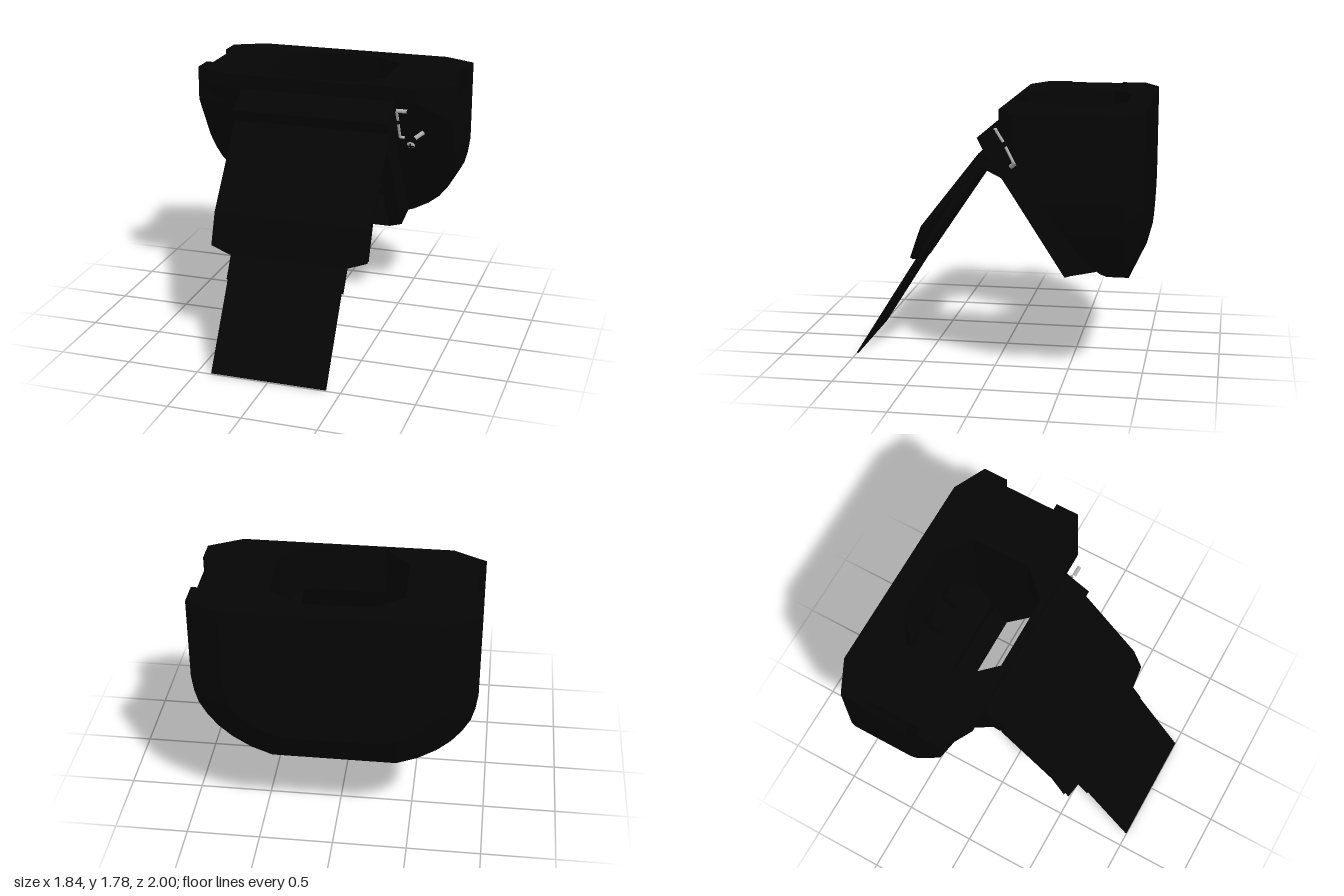
import * as THREE from 'three';

const black = new THREE.MeshStandardMaterial({ color: 0x050505, side: THREE.DoubleSide });
black.name = 'black shell';
const steel = new THREE.MeshStandardMaterial({ color: 0xb4b4b4 });
steel.name = 'bare steel';

// slope of the front face, as z for a height
const slopeZ = (y) => -0.06 - (1.67 - y) / 1.62;

function toShape(pts, Type = THREE.Shape) {
  return new Type(pts.map(([a, b]) => new THREE.Vector2(a, b)));
}

// side profile given as [z, y], extruded from x0 to x1
function profile(pts, x0, x1) {
  const g = new THREE.ExtrudeGeometry(toShape(pts), { depth: x1 - x0, bevelEnabled: false });
  return g.rotateY(-Math.PI / 2).translate(x1, 0, 0);
}

// flat-shaded geometry from quads of corner arrays
function quads(list) {
  const pos = [];
  for (const [a, b, c, d] of list) pos.push(...a, ...b, ...c, ...a, ...c, ...d);
  const g = new THREE.BufferGeometry();
  g.setAttribute('position', new THREE.Float32BufferAttribute(pos, 3));
  g.computeVertexNormals();
  return g;
}

// plan of the feed opening, front edge first
const opening = [[-0.26, -0.1], [0.26, -0.1], [0.43, -0.28], [0.43, -0.47], [0.43, -0.7],
  [0.23, -0.84], [-0.23, -0.84], [-0.43, -0.7], [-0.43, -0.47], [-0.43, -0.28]];

// height where the hopper walls end: short at the front, sloping floor at the back
function hopperY(z) {
  if (z > -0.2) return 1.45;
  return z > -0.47 ? 0.63 + (z + 0.47) * 1.6 : 0.63 + (-0.47 - z) * 1.7;
}

function bodyShell() {
  const half = [[0.92, 1.68], [0.92, 1.543], [0.92, 1.22], [0.905, 1.11], [0.88, 1.02], [0.83, 0.93],
    [0.76, 0.84], [0.67, 0.76], [0.55, 0.685], [0.41, 0.63]];
  const inset = ([x, y]) => [x * 0.76, y > 1.22 ? y : 1.22 - (1.22 - y) * 0.62];
  // four U-shaped rings from back to front
  const rings = [
    half.map(inset).map(([x, y]) => [x, y, -1]),
    half.map(([x, y]) => [x, y, -0.89]),
    half.map(([x, y]) => [x, y, Math.min(-0.18, slopeZ(y) - 0.04)]),
    half.map(inset).map(([x, y]) => [x, y, Math.min(-0.06, slopeZ(y))]),
  ];
  const flip = ([x, y, z]) => [-x, y, z];
  const list = [];
  const last = half.length - 1;
  for (let i = 0; i < last; i++) {
    for (let r = 0; r < 3; r++) {
      const q = [rings[r][i], rings[r][i + 1], rings[r + 1][i + 1], rings[r + 1][i]];
      list.push([...q].reverse(), q.map(flip));
    }
    // back panel, and front panels either side of the mouth
    const a = rings[0][i], b = rings[0][i + 1];
    list.push([a, b, flip(b), flip(a)]);
    const c = rings[3][i], d = rings[3][i + 1];
    const ci = [Math.min(0.43, c[0]), c[1], c[2]], di = [Math.min(0.43, d[0]), d[1], d[2]];
    const q = [c, ci, di, d];
    list.push(q, q.map(flip).reverse());
  }
  // flat bottom
  for (let r = 0; r < 3; r++) {
    const a = rings[r][last], b = rings[r + 1][last];
    list.push([a, b, flip(b), flip(a)]);
  }
  return quads(list);
}

function rim() {
  // chamfered plan with a hand notch in each side
  const right = [[0.7, -0.06], [0.92, -0.18], [0.92, -0.34], [0.87, -0.34],
    [0.87, -0.72], [0.92, -0.72], [0.92, -0.89], [0.7, -1]];
  const left = right.map(([x, z]) => [-x, z]).reverse();
  const s = toShape([...right, ...left]);
  s.holes.push(toShape(opening, THREE.Path));
  const g = new THREE.ExtrudeGeometry(s, { depth: 0.1, bevelEnabled: false });
  return g.rotateX(Math.PI / 2).translate(0, 1.78, 0);
}

function hopperWalls() {
  return quads(opening.map(([x, z], i) => {
    const [x2, z2] = opening[(i + 1) % opening.length];
    // the front corner walls stay short, leaving the mouth open below
    const short = Math.max(z, z2) > -0.2;
    const y = short ? 1.45 : hopperY(z), y2 = short ? 1.45 : hopperY(z2);
    return [[x, 1.7, z], [x2, 1.7, z2], [x2, y2, z2], [x, y, z]];
  }));
}

function hopperFloor() {
  const g = new THREE.ShapeGeometry(toShape(opening.slice(3, 9))).rotateX(Math.PI / 2);
  const p = g.attributes.position;
  for (let i = 0; i < p.count; i++) p.setY(i, hopperY(p.getZ(i)));
  g.computeVertexNormals();
  return g;
}

// move vertices by a rule, then refresh the normals
function reshape(g, rule) {
  const p = g.attributes.position;
  for (let i = 0; i < p.count; i++) p.setXYZ(i, ...rule(p.getX(i), p.getY(i), p.getZ(i)));
  g.computeVertexNormals();
  return g;
}

// raise the outer lower corners of the mouth
const roundCorner = (x, y, z) => [x, Math.abs(x) > 0.49 && y < 0.64 ? y + 0.025 : y, z];
// narrow the lower lip of the cover
const narrowLip = (x, y, z) => [y < 0.72 ? x * 0.76 : x, y, z];

// domed screw head with a dark cross slot, facing +z
function screw() {
  const group = new THREE.Group();
  group.name = 'screw';
  const head = new THREE.Mesh(new THREE.SphereGeometry(0.03, 16, 10).scale(1, 1, 0.5), steel);
  head.name = 'screwHead';
  group.add(head);
  for (const size of [[0.05, 0.009], [0.009, 0.05]]) {
    const slot = new THREE.Mesh(new THREE.BoxGeometry(...size, 0.008), black);
    slot.name = 'screwSlot';
    slot.position.z = 0.013;
    group.add(slot);
  }
  return group;
}

export function createModel() {
  const model = new THREE.Group();
  const add = (name, geometry, material = black) => {
    const m = new THREE.Mesh(geometry, material);
    m.name = name;
    model.add(m);
    return m;
  };

  // container
  add('bodyShell', bodyShell());
  add('topRim', rim());
  add('hopperWalls', hopperWalls());
  add('hopperFloor', hopperFloor());
  for (const x of [-0.22, 0, 0.22]) {
    add('feedRoller', new THREE.CylinderGeometry(0.07, 0.07, 0.14, 16).rotateZ(Math.PI / 2))
      .position.set(x, 1.22, -0.77);
  }

  // sloping mouth frame
  const cheek = [[-0.47, 0.62], [-0.08, 1.25], [-0.02, 1.34], [0.04, 1.44], [-0.05, 1.66], [-0.1, 1.62], [-0.68, 0.69]];
  add('mouthCheekLeft', reshape(profile(cheek, 0.43, 0.52), roundCorner));
  add('mouthCheekRight', reshape(profile(cheek, -0.52, -0.43), roundCorner));
  const lip = [[-0.47, 0.62], [-0.68, 0.69], [-0.7, 0.95], [-0.49, 0.65]];
  add('mouthLip', profile(lip, -0.43, 0.43));

  // hinge block and struts
  add('hingeBlock', profile([[0.11, 1.57], [-0.02, 1.65], [-0.06, 1.68], [-0.1, 1.66], [-0.1, 1.46], [0.045, 1.44]], -0.55, 0.55));
  for (const x of [-0.36, 0.36]) {
    add('hingeStrut', profile([[-0.08, 1.25], [0.1, 1.34], [0.12, 1.4], [-0.03, 1.32]], x - 0.04, x + 0.04));
  }

  // hanging cover and sliding ramp
  const cover = [[0.05, 1.5], [0.1, 1.465], [0.495, 0.96], [0.57, 0.745], [0.585, 0.7],
    [0.55, 0.7], [0.535, 0.745], [0.44, 0.97], [0.06, 1.43]];
  add('cover', reshape(profile(cover, -0.55, 0.55), narrowLip));
  add('upperRamp', profile([[0.06, 1.48], [0.13, 1.42], [0.655, 0.55], [0.645, 0.54], [0.1, 1.35]], -0.41, 0.41));
  add('lowerRamp', profile([[0.6, 0.645], [1, 0.006], [0.99, 0], [0.59, 0.635]], -0.4, 0.4));

  // screws on the sloping front and under the body
  for (const side of [-1, 1]) {
    const front = screw();
    front.position.set(side * 0.62, 1.315, slopeZ(1.315));
    front.rotation.x = Math.atan(1 / 1.62);
    const under = screw();
    under.position.set(side * 0.28, 0.628, -0.8);
    under.rotation.x = Math.PI / 2;
    model.add(front, under);
  }

  // bent bracket beside the hinge
  const bar = (name, from, to, radius) => {
    const line = new THREE.LineCurve3(new THREE.Vector3(...from), new THREE.Vector3(...to));
    add(name, new THREE.TubeGeometry(line, 1, radius, 6), steel);
  };
  bar('bracketTop', [0.575, 1.63, -0.02], [0.65, 1.63, -0.02], 0.014);
  bar('bracketUpperArm', [0.575, 1.63, -0.02], [0.575, 1.55, -0.07], 0.01);
  bar('bracketLowerArm', [0.575, 1.52, -0.085], [0.575, 1.41, -0.14], 0.01);
  bar('bracketFoot', [0.575, 1.41, -0.14], [0.605, 1.405, -0.15], 0.01);
  bar('bracketEnd', [0.68, 1.41, -0.14], [0.73, 1.445, -0.18], 0.017);

  return model;
}
